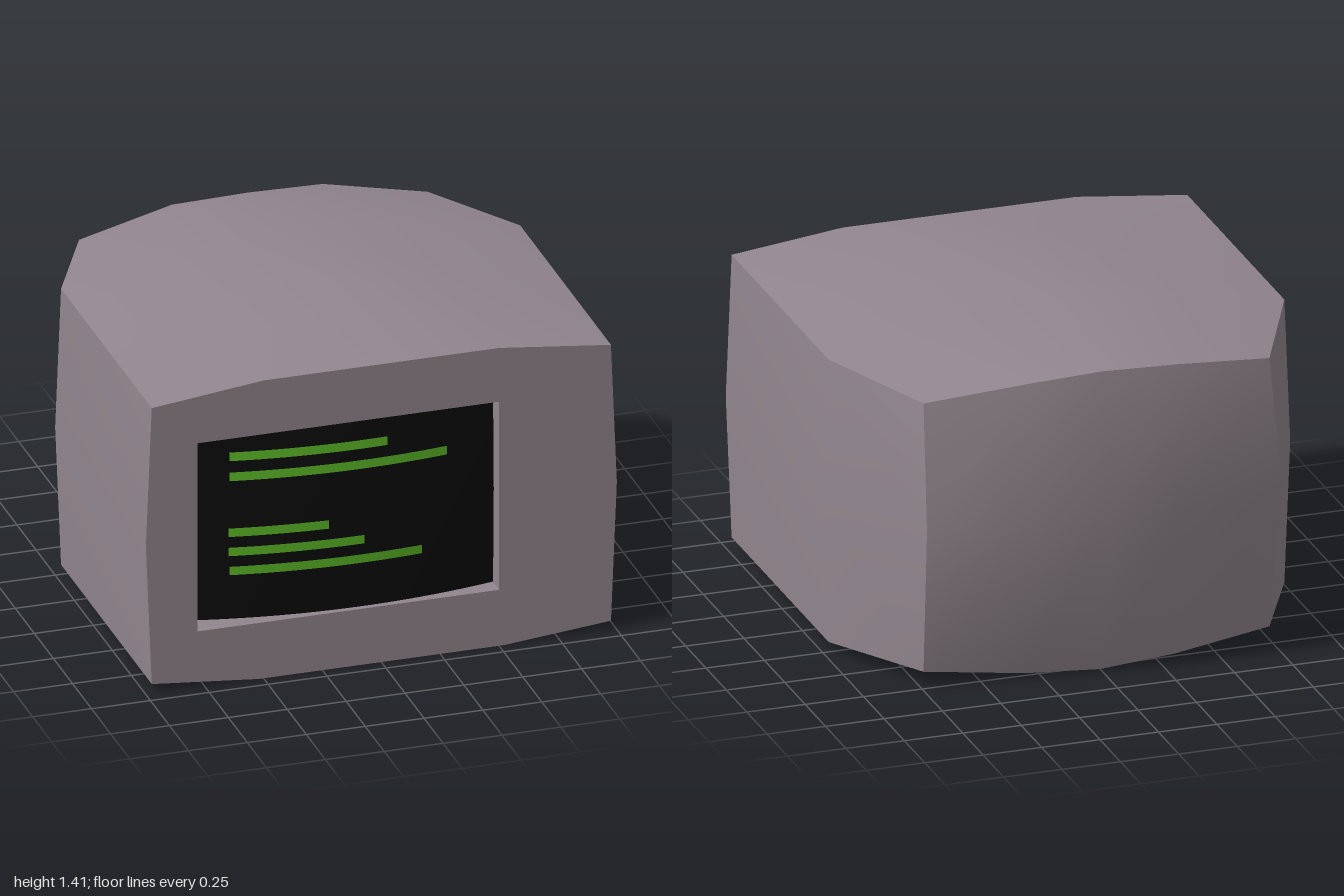
import * as THREE from 'three';

const FRONT = 0.94;
const OPENING = { x0: -0.78, x1: 0.5, y0: 0.25, y1: 1.09 };

// Surface through rows of points; smooth inside, sharp at its border
function panel(rows, flip = false, hard = false) {
  const n = rows[0].length;
  const index = [];
  for (let i = 0; i < rows.length - 1; i++) {
    for (let j = 0; j < n - 1; j++) {
      const a = i * n + j, b = a + 1, c = a + n, d = c + 1;
      if (flip) index.push(a, b, c, b, d, c);
      else index.push(a, c, b, b, c, d);
    }
  }
  let geo = new THREE.BufferGeometry();
  geo.setAttribute('position', new THREE.Float32BufferAttribute(rows.flat(2), 3));
  geo.setIndex(index);
  if (hard) geo = geo.toNonIndexed();
  geo.computeVertexNormals();
  return geo;
}

const mirror = ([x, y, z]) => [-x, y, z];
// Full row from -x to +x, given the half from the centre outwards
const row = (...half) => [...half.slice(1).reverse().map(mirror), ...half];

// Depth of the bulging glass
function glassZ(x, y) {
  const u = (x + 0.08) / 0.7, v = (y - 0.67) / 0.42;
  return FRONT - 0.012 - 0.085 * u * u - 0.012 * v * v;
}

// Rectangle bent over the glass
function onGlass(x0, x1, y0, y1, nx, ny, lift) {
  const geo = new THREE.PlaneGeometry(x1 - x0, y1 - y0, nx, ny);
  geo.translate((x0 + x1) / 2, (y0 + y1) / 2, 0);
  const p = geo.attributes.position;
  for (let i = 0; i < p.count; i++) p.setZ(i, glassZ(p.getX(i), p.getY(i)) + lift);
  geo.computeVertexNormals();
  return geo;
}

export function createModel() {
  const group = new THREE.Group();
  const material = (name, color) => {
    const m = new THREE.MeshStandardMaterial({ color });
    m.name = name;
    return m;
  };
  const casing = material('mauve grey casing', 0x92868e);
  const glass = material('black glass', 0x0a0a0a);
  const green = material('green text', 0x5ab526);
  const add = (name, geo, mat) => {
    const mesh = new THREE.Mesh(geo, mat);
    mesh.name = name;
    group.add(mesh);
  };

  // Domed top, front to back
  const top = [
    row([0, 1.33, FRONT], [0.5, 1.33, FRONT], [0.975, 1.275, FRONT]),
    row([0, 1.413, 0.25], [0.5, 1.357, 0.25], [0.975, 1.275, 0.25]),
    row([0, 1.395, -0.25], [0.5, 1.357, -0.25], [0.975, 1.275, -0.25]),
    row([0, 1.31, -0.815], [0.32, 1.3, -0.82], [0.74, 1.24, -0.74]),
  ];
  add('casingTop', panel(top, true), casing);

  // Underside, front to back
  const bottom = [
    row([0, 0, FRONT], [0.52, 0, FRONT], [0.975, 0.043, FRONT]),
    row([0, 0, -0.25], [0.52, 0, -0.25], [0.975, 0.043, -0.25]),
    row([0, 0, -0.785], [0.32, 0.025, -0.785], [0.74, 0.07, -0.74]),
  ];
  add('casingBottom', panel(bottom), casing);

  // Bulging back
  const backMiddle = row([0, 0.71, -0.94], [0.32, 0.71, -0.94], [0.76, 0.72, -0.84]);
  add('casingBack', panel([bottom[2], backMiddle, top[3]]), casing);

  // Sides, tapering behind the shoulder
  const side = [
    bottom.map((r) => r[4]),
    [[1, 0.66, FRONT], [1, 0.66, -0.25], [0.76, 0.72, -0.84]],
    [top[0][4], top[2][4], top[3][4]],
  ];
  add('leftSide', panel(side, true), casing);
  add('rightSide', panel(side.map((r) => r.map(mirror))), casing);

  // Flat front with the screen opening
  const { x0, x1, y0, y1 } = OPENING;
  const outline = [...bottom[0], side[1][0], ...[...top[0]].reverse(), mirror(side[1][0])];
  const shape = new THREE.Shape(outline.map(([x, y]) => new THREE.Vector2(x, y)));
  const corners = [[x0, y0], [x1, y0], [x1, y1], [x0, y1]];
  shape.holes.push(new THREE.Path(corners.map(([x, y]) => new THREE.Vector2(x, y)).reverse()));
  add('frontFrame', new THREE.ShapeGeometry(shape).translate(0, 0, FRONT), casing);

  // Walls of the recess
  const ring = (z) => [...corners, corners[0]].map(([x, y]) => [x, y, z]);
  add('screenRecess', panel([ring(FRONT), ring(FRONT - 0.13)], true, true), casing);

  // Curved screen
  add('screen', onGlass(x0, x1, y0, y1, 24, 12, 0), glass);

  // Lines of text as plain bars: start, end, height of centre
  const bars = [
    [-0.625, 0.03, 0.978], [-0.625, 0.29, 0.89], [-0.63, -0.22, 0.642],
    [-0.63, -0.07, 0.556], [-0.625, 0.18, 0.47],
  ];
  bars.forEach(([a, b, y], i) => {
    add(`textBar${i + 1}`, onGlass(a, b, y - 0.019, y + 0.019, 24, 1, 0.006), green);
  });

  return group;
}
